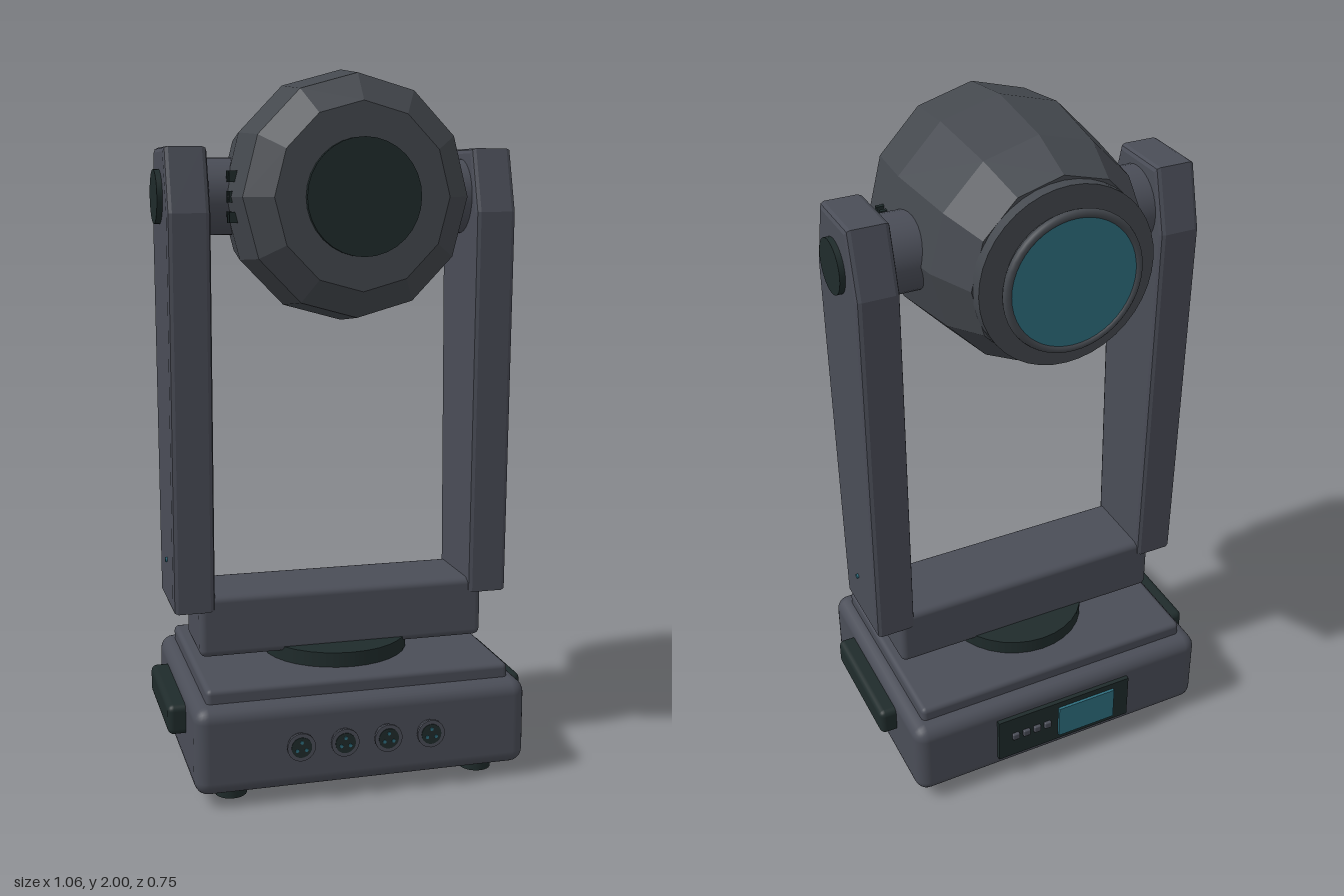
import * as THREE from 'three';
import { RoundedBoxGeometry } from 'three/addons/geometries/RoundedBoxGeometry.js';

export function createModel() {
  const model = new THREE.Group();
  model.name = 'movingHeadLight';

  const material = (name, color) => {
    const m = new THREE.MeshStandardMaterial({ color });
    m.name = name;
    return m;
  };
  const body = material('bodyGrey', 0x4a4d57);
  const shell = material('headGrey', 0x44484e);
  const dark = material('darkRubber', 0x1f2b2b);
  const teal = material('tealGlass', 0x2f6f80);

  const add = (name, geometry, mat, x = 0, y = 0, z = 0, parent = model) => {
    const mesh = new THREE.Mesh(geometry, mat);
    mesh.name = name;
    mesh.position.set(x, y, z);
    parent.add(mesh);
    return mesh;
  };
  const box = (w, h, d, r) => new RoundedBoxGeometry(w, h, d, 3, r);
  // Cylinder lying along the chosen axis
  const rod = (r, length, axis = 'y', sides = 32) => {
    const g = new THREE.CylinderGeometry(r, r, length, sides);
    if (axis === 'x') g.rotateZ(Math.PI / 2);
    if (axis === 'z') g.rotateX(Math.PI / 2);
    return g;
  };

  // Base with raised top plate, feet and turntable
  add('base', box(0.96, 0.25, 0.705, 0.04), body, 0, 0.16, 0);
  add('baseTopPlate', box(0.88, 0.06, 0.605, 0.015), body, 0, 0.295, 0);
  for (const x of [-0.365, 0.365])
    for (const z of [-0.245, 0.245]) add('foot', rod(0.045, 0.05), dark, x, 0.025, z);
  add('turntable', rod(0.215, 0.06), dark, 0, 0.338, 0);

  // Front sockets
  for (const x of [-0.19, -0.065, 0.06, 0.185]) {
    const socket = new THREE.Group();
    socket.name = 'socket';
    socket.position.set(x, 0.165, 0.35);
    model.add(socket);
    add('socketBody', rod(0.035, 0.03, 'z', 20), body, 0, 0, 0.005, socket);
    add('socketFlange', rod(0.04, 0.008, 'z', 20), body, 0, 0, 0.02, socket);
    add('socketFace', rod(0.029, 0.004, 'z', 20), dark, 0, 0, 0.024, socket);
    for (let i = 0; i < 3; i++) {
      const a = Math.PI / 2 + (i * Math.PI * 2) / 3;
      add('socketPin', rod(0.005, 0.004, 'z', 8), teal,
        0.015 * Math.cos(a), 0.015 * Math.sin(a), 0.0265, socket);
    }
  }

  // Rear control panel
  add('controlPanel', new THREE.BoxGeometry(0.445, 0.15, 0.02), dark, 0, 0.16, -0.356);
  add('displayScreen', new THREE.BoxGeometry(0.19, 0.11, 0.009), teal, -0.073, 0.16, -0.37);
  for (let i = 0; i < 4; i++)
    add('panelButton', box(0.023, 0.023, 0.012, 0.004), body, 0.06 + i * 0.036, 0.165, -0.37);

  // Yoke crossbar
  add('yokeCrossbar', box(0.85, 0.18, 0.237, 0.02), body, 0, 0.443, 0.001);

  // Tapered arm outline, inset by the bevel
  const b = 0.014;
  const outline = new THREE.Shape([
    [-0.126 + b, 0.49 + b], [0.123 - b, 0.49 + b], [0.144 - b, 1.61],
    [0.1 - b, 1.79 - b], [-0.1 + b, 1.79 - b], [-0.148 + b, 1.61],
  ].map(([x, y]) => new THREE.Vector2(x, y)));
  const armGeometry = new THREE.ExtrudeGeometry(outline, {
    depth: 0.12 - 2 * b, bevelEnabled: true, bevelSize: b, bevelThickness: b, bevelSegments: 2,
  });
  armGeometry.translate(0, 0, -(0.12 - 2 * b) / 2);
  armGeometry.rotateY(Math.PI / 2);

  const headY = 1.655;
  for (const side of [-1, 1]) {
    const label = side > 0 ? 'left' : 'right';
    add(label + 'Handle', box(0.07, 0.087, 0.37, 0.018), dark, side * 0.495, 0.201, 0);
    add(label + 'Arm', armGeometry, body, side * 0.44, 0, 0);
    add(label + 'PivotHub', rod(0.107, 0.11, 'x'), body, side * 0.335, headY, 0);
    add(label + 'PivotCap', rod(0.075, 0.025, 'x'), dark, side * 0.503, headY, 0);
    add(label + 'Indicator', rod(0.007, 0.012, 'x', 10), teal, side * 0.5, 0.625, 0.016);
    // Cooling slots beside the pivot
    for (const y of [1.6, 1.655, 1.71])
      for (const z of [0.112, 0.142])
        add(label + 'VentSlot', new THREE.BoxGeometry(0.03, 0.03, 0.012), dark, side * 0.315, y, z);
  }

  // Faceted head shell
  const profile = [
    [0, -0.285], [0.26, -0.285], [0.315, -0.15], [0.346, 0.075],
    [0.325, 0.248], [0.25, 0.31], [0, 0.31],
  ].map(([r, z]) => new THREE.Vector2(r, z));
  const headGeometry = new THREE.LatheGeometry(profile, 12).rotateX(Math.PI / 2)
    .scale(0.965, 1, 1).toNonIndexed();
  headGeometry.computeVertexNormals();
  add('headShell', headGeometry, shell, 0, headY, 0);
  add('frontCover', rod(0.157, 0.03, 'z'), dark, 0, headY, 0.31);

  // Lens assembly facing the rear
  add('lensCollar', rod(0.247, 0.037, 'z', 40), shell, 0, headY, -0.3);
  add('lensBarrel', rod(0.18, 0.035, 'z', 40), shell, 0, headY, -0.33);
  add('lensBezel', new THREE.TorusGeometry(0.184, 0.012, 10, 48), shell, 0, headY, -0.347);
  add('lens', rod(0.176, 0.009, 'z', 40), teal, 0, headY, -0.35);

  return model;
}
